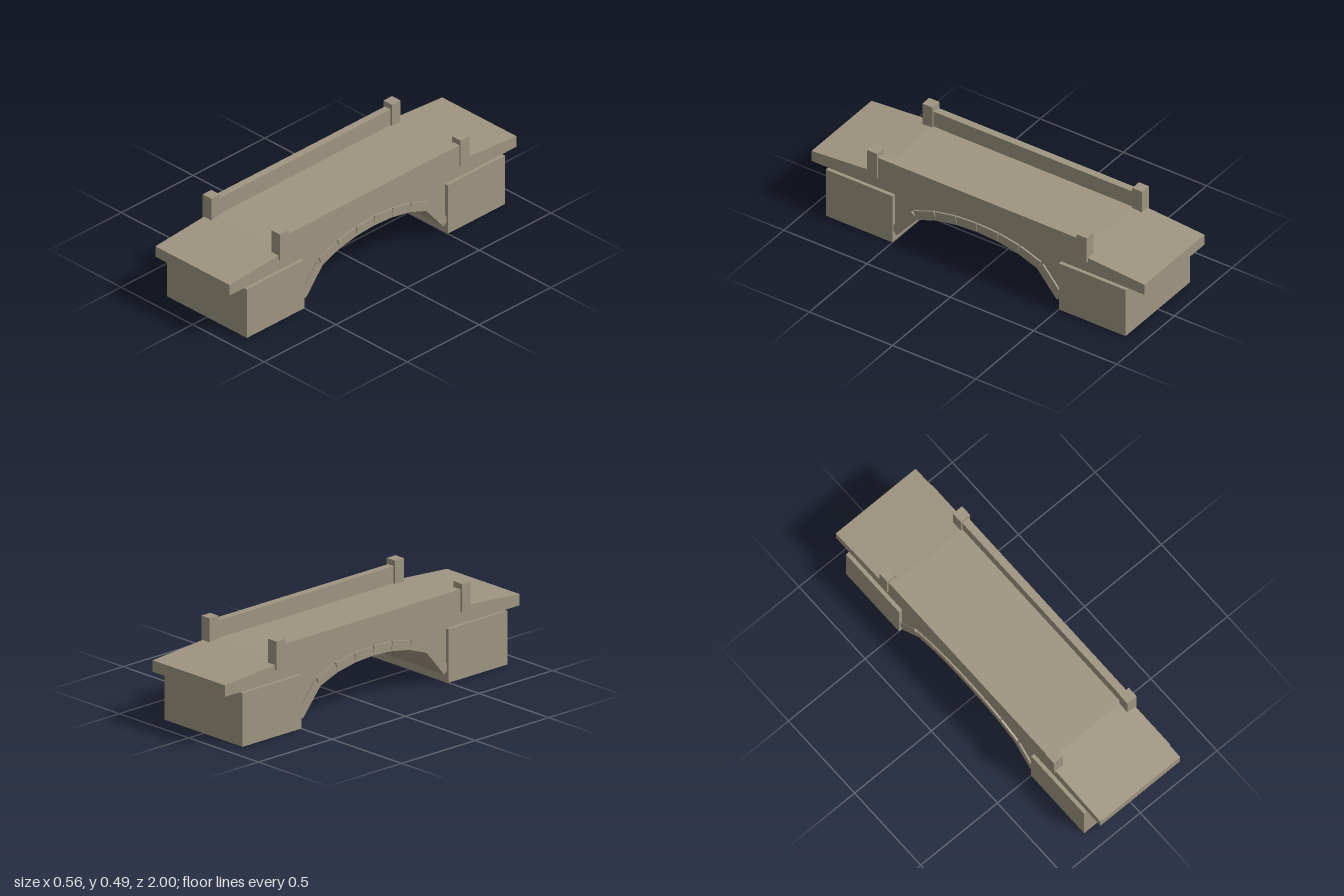
import * as THREE from 'three';

const HALF_SPAN = 0.5, SPRING = 0.06, RISE = 0.225, STONES = 8;

// Points along the elliptical centre line of the arch, as (z, y)
function archPoints() {
  const points = [];
  for (let i = 0; i <= STONES; i++) {
    const t = (2 * i) / STONES - 1;
    points.push(new THREE.Vector2(t * HALF_SPAN, SPRING + RISE * Math.sqrt(1 - t * t)));
  }
  return points;
}

export function createModel() {
  const bridge = new THREE.Group();
  bridge.name = 'stoneBridge';
  const stone = new THREE.MeshStandardMaterial({ color: 0x9e9580 });
  stone.name = 'stone';

  function add(name, geometry, x = 0, y = 0, z = 0) {
    const mesh = new THREE.Mesh(geometry, stone);
    mesh.name = name;
    mesh.position.set(x, y, z);
    bridge.add(mesh);
    return mesh;
  }
  const box = (name, w, h, d, x, y, z) => add(name, new THREE.BoxGeometry(w, h, d), x, y, z);

  // Deck with ramped ends and arched spandrel walls, one profile across the width
  const arch = archPoints();
  const profile = new THREE.Shape([
    [-1, 0.28], [-HALF_SPAN, 0.28],
  ].map(([z, y]) => new THREE.Vector2(z, y)).concat(arch, [
    [HALF_SPAN, 0.28], [1, 0.28], [1, 0.34], [0.6, 0.37], [-0.6, 0.37], [-1, 0.34],
  ].map(([z, y]) => new THREE.Vector2(z, y))));
  const deck = new THREE.ExtrudeGeometry(profile, { depth: 0.52, bevelEnabled: false });
  deck.translate(0, 0, -0.26).rotateY(-Math.PI / 2);
  add('deckAndSpandrels', deck);

  // Arch stones spanning the full width, slightly proud of the walls
  for (let i = 0; i < STONES; i++) {
    const a = arch[i], b = arch[i + 1];
    const block = box('archStone', 0.54, 0.05, a.distanceTo(b) - 0.003,
      0, (a.y + b.y) / 2, (a.x + b.x) / 2);
    block.rotation.x = -Math.atan2(b.y - a.y, b.x - a.x);
  }

  // Abutments at both ends
  for (const end of [-1, 1]) box('abutment', 0.56, 0.28, 0.4, 0, 0.14, end * 0.7);

  // Parapets with a post at each end
  for (const side of [-1, 1]) {
    box('parapet', 0.04, 0.1, 1.2, side * 0.24, 0.41, 0);
    for (const end of [-1, 1]) box('parapetPost', 0.06, 0.15, 0.06, side * 0.24, 0.415, end * 0.63);
  }
  return bridge;
}
